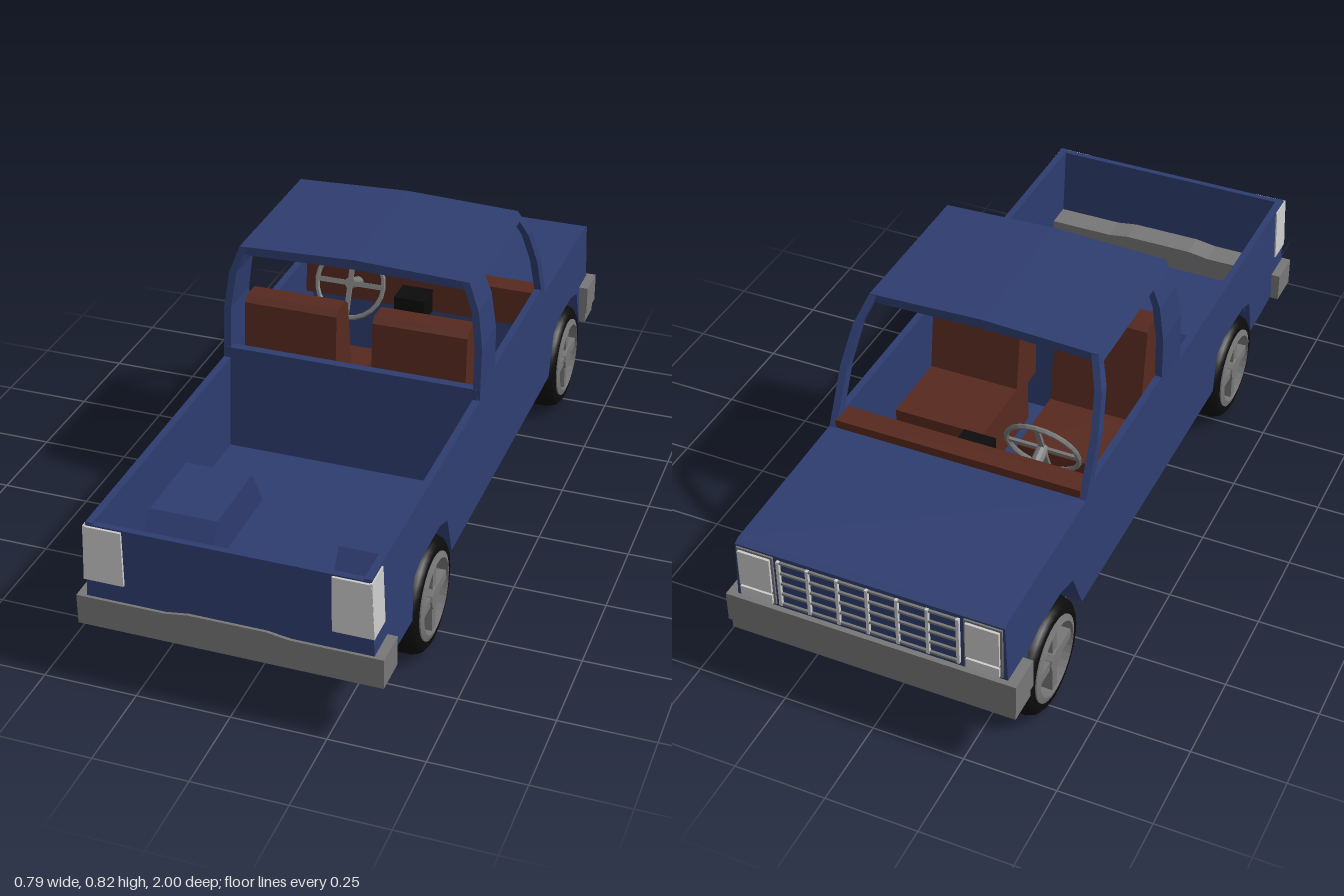
import * as THREE from 'three';

const mat = (name, hex, side = THREE.FrontSide) => {
  const m = new THREE.MeshStandardMaterial({ color: hex, side, flatShading: true });
  m.name = name;
  return m;
};

export function createModel() {
  const root = new THREE.Group();
  root.name = 'pickupTruck';
  const blue = mat('bodyBlue', 0x2e3d70);
  const brown = mat('seatBrown', 0x57291f);
  const grey = mat('bumperGrey', 0x777777);
  const light = mat('lampGrey', 0xcccccc);
  const rubber = mat('tyreBlack', 0x0c0c0c);
  rubber.flatShading = false;

  const add = (name, geo, material, parent = root) => {
    const m = new THREE.Mesh(geo, material);
    m.name = name;
    parent.add(m);
    return m;
  };
  // box from its lower and upper limits
  const box = (name, x0, x1, y0, y1, z0, z1, material, parent) => {
    const g = new THREE.BoxGeometry(x1 - x0, y1 - y0, z1 - z0);
    g.translate((x0 + x1) / 2, (y0 + y1) / 2, (z0 + z1) / 2);
    return add(name, g, material, parent);
  };
  const shapeOf = (pts) => new THREE.Shape(pts.map(([a, b]) => new THREE.Vector2(a, b)));
  // [z, y] outline extruded across x, narrowing slightly with height
  const acrossX = (pts, x0, x1) => {
    const g = new THREE.ExtrudeGeometry(shapeOf(pts.map(([z, y]) => [-z, y])), { depth: x1 - x0, bevelEnabled: false });
    g.rotateY(Math.PI / 2).translate(x0, 0, 0);
    const p = g.attributes.position;
    for (let i = 0; i < p.count; i++) p.setX(i, p.getX(i) * (1 - (p.getY(i) - 0.2) * 0.1));
    g.computeVertexNormals();
    return g;
  };
  // [x, y] outline extruded along z
  const alongZ = (pts, z0, z1) =>
    new THREE.ExtrudeGeometry(shapeOf(pts), { depth: z1 - z0, bevelEnabled: false }).translate(0, 0, z0);
  // post built from four-cornered sections: [y, outer x, rear z, front z]
  const post = (levels, s, t) => {
    const rings = levels.map(([y, x, zr, zf]) => {
      const r = [[s * x, y, zr], [s * x, y, zf], [s * (x - t), y, zf], [s * (x - t), y, zr]];
      return s > 0 ? r : r.reverse();
    });
    const v = [];
    for (let i = 0; i + 1 < rings.length; i++) {
      for (let j = 0; j < 4; j++) {
        const k = (j + 1) % 4, a = rings[i], b = rings[i + 1];
        v.push(...a[j], ...a[k], ...b[k], ...a[j], ...b[k], ...b[j]);
      }
    }
    const g = new THREE.BufferGeometry();
    g.setAttribute('position', new THREE.Float32BufferAttribute(v, 3));
    g.computeVertexNormals();
    return g;
  };

  // hood and front fenders with the wheel channel
  add('frontEnd', acrossX([
    [-0.5, 0.485], [-0.97, 0.48], [-0.985, 0.472], [-0.985, 0.19], [-0.9, 0.185], [-0.87, 0.3], [-0.8, 0.32],
    [-0.67, 0.32], [-0.6, 0.3], [-0.55, 0.185], [-0.5, 0.185],
  ], -0.37, 0.37), blue);

  // floor, cut out for the rear wheels
  box('cabFloor', -0.36, 0.36, 0.185, 0.205, -0.52, 0.4, blue);
  box('bedFloor', -0.18, 0.18, 0.185, 0.205, 0.4, 0.72, blue);
  box('rearFloor', -0.36, 0.36, 0.188, 0.205, 0.72, 0.985, blue);
  box('cabRearWall', -0.352, 0.352, 0.2, 0.513, 0.115, 0.139, blue);
  add('tailgate', alongZ([[-0.37, 0.2], [0.37, 0.2], [0.36, 0.478], [-0.36, 0.478]], 0.975, 0.992), blue);

  const arch = [[0.4, 0.185], [0.43, 0.295], [0.49, 0.315], [0.64, 0.315], [0.7, 0.295], [0.72, 0.185]];
  const wellTop = [[0.74, 0.185], [0.74, 0.21], [0.67, 0.325], [0.44, 0.325], [0.37, 0.21], [0.37, 0.185]];
  for (const s of [1, -1]) {
    const span = (a, b) => (s > 0 ? [a, b] : [-b, -a]);
    const side = s > 0 ? 'left' : 'right';

    // lower side panel: door, bed side and rear arch
    add(side + 'SidePanel', acrossX([
      [-0.505, 0.185], ...arch, [0.8, 0.187], [0.985, 0.2], [0.99, 0.482], [0.138, 0.482],
      [0.138, 0.513], [-0.47, 0.513], [-0.505, 0.485],
    ], ...span(0.35, 0.37)), blue);
    // wheel housing inside the bed
    add(side + 'WheelHousing', acrossX([...arch, ...wellTop], ...span(0.175, 0.356)), blue);
    add(side + 'HousingWall', acrossX([...wellTop], ...span(0.163, 0.176)), blue);

    // cab posts
    add(side + 'RearPost', post([
      [0.5, 0.359, 0.138, 0], [0.63, 0.358, 0.128, 0.001], [0.73, 0.344, 0.119, 0.003], [0.806, 0.315, 0.112, 0.005],
    ], s, 0.02), blue);
    add(side + 'WindshieldPost', post([
      [0.48, 0.359, -0.475, -0.51], [0.63, 0.358, -0.402, -0.435], [0.73, 0.344, -0.352, -0.382],
      [0.806, 0.315, -0.312, -0.337],
    ], s, 0.02), blue);

    // tail lamp wrapping the corner
    add(side + 'TailLamp', alongZ([[0.265 * s, 0.322], [0.37 * s, 0.322], [0.362 * s, 0.474], [0.265 * s, 0.474]], 0.991, 0.999), light);
    add(side + 'TailLampSide', acrossX([[0.92, 0.322], [0.998, 0.322], [0.998, 0.476], [0.92, 0.476]], ...span(0.367, 0.374)), light);

    // headlamp and signal lamp
    const [h0, h1] = span(0.255, 0.355);
    box(side + 'HeadlampFrame', h0, h1, 0.315, 0.467, -0.99, -0.984, grey);
    box(side + 'Headlamp', h0 + 0.006, h1 - 0.006, 0.355, 0.461, -0.997, -0.989, light);
    box(side + 'SignalLamp', h0 + 0.006, h1 - 0.006, 0.32, 0.348, -0.997, -0.989, light);

    // seat
    const [a, b] = span(0.05, 0.31);
    box(side + 'SeatCushion', a, b, 0.205, 0.36, -0.24, 0.05, brown);
    const back = new THREE.ExtrudeGeometry(
      shapeOf([[0.03, 0.33], [-0.1, 0.33], [-0.108, 0.5], [-0.1, 0.635], [-0.085, 0.65], [-0.03, 0.65], [-0.012, 0.635]]),
      { depth: b - a, bevelEnabled: false });
    add(side + 'SeatBack', back.rotateY(Math.PI / 2).translate(a, 0, 0), brown);
  }

  // roof
  add('roof', alongZ([[-0.325, 0.783], [0, 0.791], [0.325, 0.783], [0.315, 0.806], [0, 0.818], [-0.315, 0.806]], -0.338, 0.112), blue);

  // dashboard, shifter and steering wheel
  box('dashboard', -0.342, 0.342, 0.4, 0.509, -0.505, -0.44, brown);
  box('shifterBase', -0.045, 0.045, 0.4, 0.47, -0.442, -0.36, rubber);
  const steering = new THREE.Group();
  steering.name = 'steeringWheel';
  steering.position.set(-0.18, 0.488, -0.368);
  steering.rotation.x = -0.4;
  root.add(steering);
  add('steeringRim', new THREE.TorusGeometry(0.1, 0.007, 6, 24), grey, steering);
  for (let i = 0; i < 4; i++) {
    const spoke = box('steeringSpoke', 0, 0.1, -0.007, 0.007, -0.004, 0.004, grey, steering);
    spoke.rotation.z = (i * Math.PI) / 2;
  }
  const column = new THREE.CylinderGeometry(0.016, 0.016, 0.1, 10).rotateX(Math.PI / 2).translate(0, 0, -0.045);
  add('steeringColumn', column, grey, steering);

  // grille
  for (let i = 0; i < 7; i++) {
    const x = -0.24 + i * 0.08;
    box('grilleUpright', x - 0.004, x + 0.004, 0.32, 0.462, -0.994, -0.984, light);
  }
  for (let i = 0; i < 5; i++) {
    const y = 0.324 + i * 0.0335;
    box('grilleBar', -0.24, 0.24, y - 0.003, y + 0.003, -0.992, -0.984, grey);
  }

  // bumpers
  add('rearBumper', alongZ([
    [-0.393, 0.188], [0.393, 0.188], [0.393, 0.27], [0.16, 0.27], [0.1, 0.279], [-0.1, 0.279], [-0.16, 0.27], [-0.393, 0.27],
  ], 0.9, 1), grey);
  box('frontBumper', -0.393, 0.393, 0.222, 0.307, -1, -0.9, grey);
  box('frontBumperLip', -0.388, 0.388, 0.19, 0.222, -0.992, -0.905, grey);

  // wheels, lathed about y then turned so the outer face points along +x
  const lathe = (pts) => new THREE.LatheGeometry(pts.map(([r, y]) => new THREE.Vector2(r, y)), 32);
  const tyre = lathe([[0.112, -0.068], [0.135, -0.07], [0.148, -0.06], [0.155, -0.04], [0.155, 0.04], [0.148, 0.06], [0.135, 0.07], [0.112, 0.068]]);
  const rim = lathe([[0.1, -0.07], [0.116, -0.07], [0.116, 0.072], [0.1, 0.077], [0.1, -0.07]]);
  for (const s of [1, -1]) {
    for (const z of [-0.735, 0.565]) {
      const wheel = new THREE.Group();
      wheel.name = (s > 0 ? 'left' : 'right') + (z < 0 ? 'Front' : 'Rear') + 'Wheel';
      wheel.position.set(s * 0.307, 0.155, z);
      wheel.rotation.z = -s * Math.PI / 2;
      root.add(wheel);
      add('tyre', tyre, rubber, wheel);
      add('rim', rim, grey, wheel);
      add('hub', new THREE.CylinderGeometry(0.032, 0.036, 0.05, 12).translate(0, 0.05, 0), grey, wheel);
      for (let i = 0; i < 4; i++) {
        const spoke = box('spoke', 0.02, 0.106, 0.04, 0.07, -0.014, 0.014, grey, wheel);
        spoke.rotation.y = (i * Math.PI) / 2;
      }
    }
  }
  return root;
}
